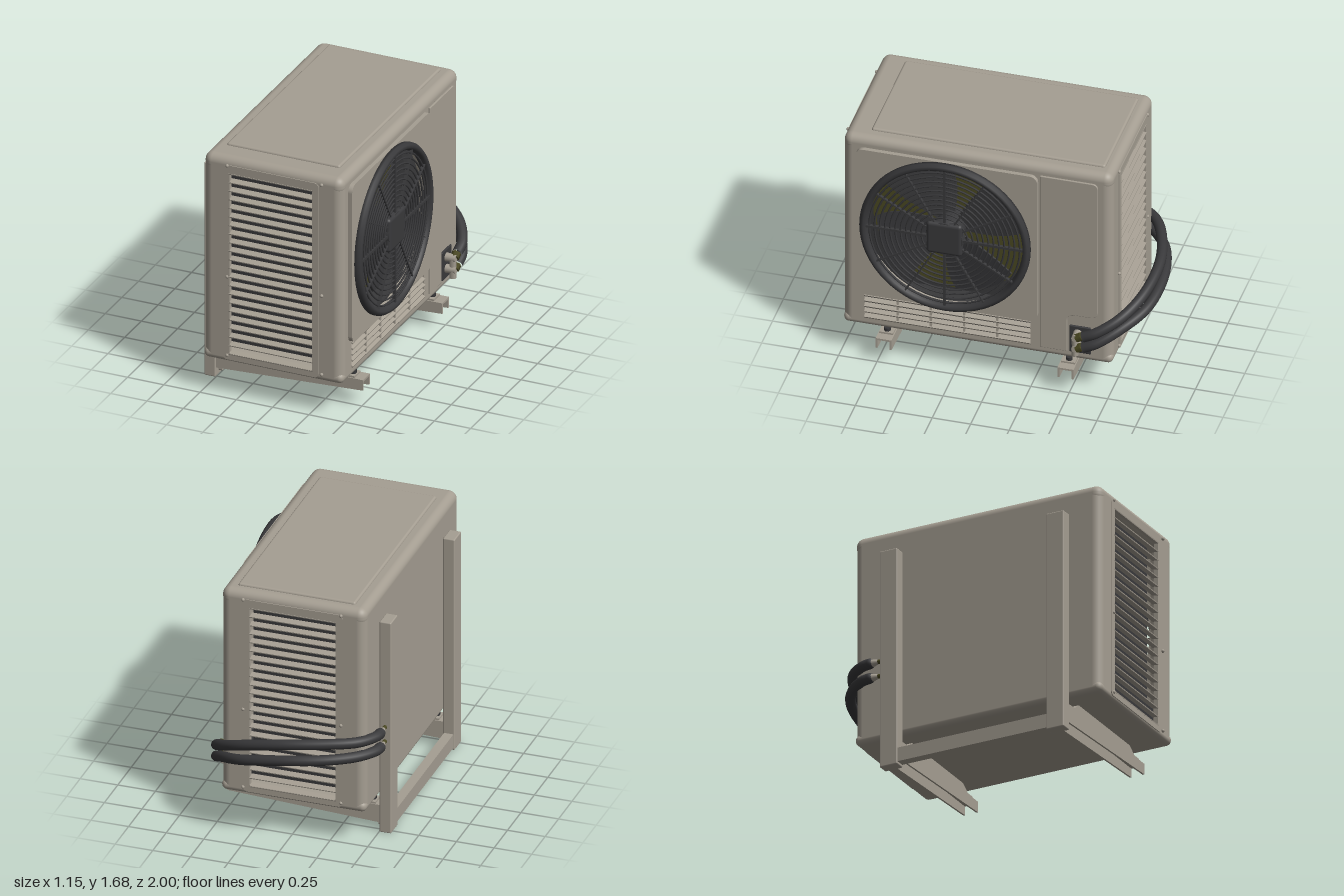
import * as THREE from 'three';
import { RoundedBoxGeometry } from 'three/addons/geometries/RoundedBoxGeometry.js';

const mat = (name, color, side = THREE.FrontSide) => {
  const m = new THREE.MeshStandardMaterial({ color, side });
  m.name = name;
  return m;
};

export function createModel() {
  const root = new THREE.Group();
  root.name = 'outdoorUnit';
  const beige = mat('warmGrey', 0xa59e92);
  const dark = mat('charcoal', 0x39393b);
  const olive = mat('darkOlive', 0x4a4822);

  const add = (name, geo, m, pos = [0, 0, 0], rot = [0, 0, 0], parent = root) => {
    const mesh = new THREE.Mesh(geo, m);
    mesh.name = name;
    mesh.position.set(...pos);
    mesh.rotation.set(...rot);
    parent.add(mesh);
    return mesh;
  };
  // box given by its limits on each axis
  const box = (name, m, x0, x1, y0, y1, z0, z1, parent = root) =>
    add(name, new THREE.BoxGeometry(x1 - x0, y1 - y0, z1 - z0), m,
      [(x0 + x1) / 2, (y0 + y1) / 2, (z0 + z1) / 2], [0, 0, 0], parent);
  // rounded rectangle outline
  const rect = (x0, x1, y0, y1, r, Type = THREE.Shape) => {
    const s = new Type();
    s.moveTo(x0 + r, y0).lineTo(x1 - r, y0);
    s.absarc(x1 - r, y0 + r, r, -Math.PI / 2, 0);
    s.lineTo(x1, y1 - r).absarc(x1 - r, y1 - r, r, 0, Math.PI / 2);
    s.lineTo(x0 + r, y1).absarc(x0 + r, y1 - r, r, Math.PI / 2, Math.PI);
    s.lineTo(x0, y0 + r).absarc(x0 + r, y0 + r, r, Math.PI, Math.PI * 1.5);
    return s;
  };
  const plate = (shape, depth, bevel = 0) => new THREE.ExtrudeGeometry(shape, {
    depth, curveSegments: 24, bevelEnabled: bevel > 0,
    bevelSize: bevel, bevelThickness: bevel, bevelOffset: -bevel, bevelSegments: 3,
  });
  const path = (pts) => new THREE.CatmullRomCurve3(pts.map((p) => new THREE.Vector3(...p)));

  // Cabinet: lid, tray, corner posts and dark interior
  add('lid', new RoundedBoxGeometry(0.96, 0.12, 1.75, 5, 0.055), beige, [-0.01, 1.61, 0.105]);
  add('lidPanel', new RoundedBoxGeometry(0.78, 0.04, 1.52, 3, 0.015), beige, [-0.01, 1.665, 0.06]);
  add('baseTray', new RoundedBoxGeometry(0.96, 0.07, 1.75, 4, 0.034), beige, [-0.01, 0.275, 0.105]);
  for (const x of [-0.43, 0.41]) for (const z of [-0.71, 0.92]) {
    add('cornerPost', new THREE.CylinderGeometry(0.06, 0.06, 1.34, 24), beige, [x, 0.945, z]);
  }
  box('interiorCore', dark, -0.46, 0.28, 0.28, 1.6, -0.69, 0.9);
  box('lowerInterior', dark, 0.28, 0.41, 0.28, 0.49, -0.69, 0.9);
  box('wallSidePanel', beige, -0.49, -0.46, 0.275, 1.615, -0.71, 0.92);

  // Louvred end panels, front and back
  for (const side of [1, -1]) {
    const end = new THREE.Group();
    end.name = side > 0 ? 'frontLouverPanel' : 'backLouverPanel';
    end.position.set(0, 0, side > 0 ? 0.98 : -0.77);
    end.rotation.y = side > 0 ? 0 : Math.PI;
    root.add(end);
    const c = -0.015 * side;
    const hole = () => rect(c - 0.29, c + 0.28, 0.305, 1.565, 0.01, THREE.Path);
    const wall = rect(-0.01 * side - 0.42, -0.01 * side + 0.42, 0.275, 1.615, 0.002);
    wall.holes.push(hole());
    add('endWall', plate(wall, 0.025), beige, [0, 0, -0.025], [0, 0, 0], end);
    const frame = rect(c - 0.335, c + 0.325, 0.262, 1.62, 0.03);
    frame.holes.push(hole());
    add('louverFrame', plate(frame, 0.006), beige, [0, 0, 0], [0, 0, 0], end);
    for (let i = 0; i <= 21; i++) {
      add('louverSlat', new THREE.BoxGeometry(0.58, 0.007, 0.045), beige,
        [c - 0.005, 0.305 + i * 0.06, -0.015], [0.22, 0, 0], end);
    }
    for (const x of [-0.32, 0.33]) for (const y of [0.29, 0.84, 1.615]) {
      add('screw', new THREE.SphereGeometry(0.012, 10, 6), beige, [x, y, 0.004], [0, 0, 0], end);
    }
  }

  // Fan side: local x runs toward the back, local z points outward
  const fanSide = new THREE.Group();
  fanSide.name = 'fanSide';
  fanSide.position.x = 0.47;
  fanSide.rotation.y = Math.PI / 2;
  root.add(fanSide);
  const FX = -0.305, FY = 1.04;
  const fanHole = () => new THREE.Path().absarc(FX, FY, 0.525, 0, Math.PI * 2);
  const wall = rect(-0.92, 0.71, 0.275, 1.615, 0.002);
  wall.holes.push(fanHole(), rect(-0.84, 0.24, 0.308, 0.485, 0.01, THREE.Path));
  add('sideWall', plate(wall, 0.025), beige, [0, 0, -0.025], [0, 0, 0], fanSide);
  const raised = rect(-0.89, 0.29, 0.495, 1.595, 0.05);
  raised.holes.push(fanHole());
  add('fanPanel', plate(raised, 0.028), beige, [0, 0, 0], [0, 0, 0], fanSide);

  // Service cover with a cut-out lower corner
  const cover = new THREE.Shape();
  cover.moveTo(0.305, 0.3).lineTo(0.48, 0.3).lineTo(0.48, 0.53);
  cover.quadraticCurveTo(0.48, 0.58, 0.53, 0.58).lineTo(0.63, 0.58);
  cover.quadraticCurveTo(0.68, 0.58, 0.68, 0.63).lineTo(0.68, 1.56);
  cover.quadraticCurveTo(0.68, 1.6, 0.64, 1.6).lineTo(0.305, 1.6);
  add('serviceCover', plate(cover, 0.006, 0.004), beige, [0, 0, 0.003], [0, 0, 0], fanSide);

  // Lower vent
  for (let i = 0; i < 5; i++) {
    add('ventSlat', new THREE.BoxGeometry(1.08, 0.012, 0.03), beige,
      [-0.3, 0.315 + i * 0.041, -0.005], [0.5, 0, 0], fanSide);
  }
  for (let i = 1; i < 5; i++) {
    add('ventDivider', new THREE.BoxGeometry(0.014, 0.18, 0.025), beige,
      [-0.84 + i * 0.216, 0.397, -0.008], [0, 0, 0], fanSide);
  }

  // Fan and grille
  const fan = new THREE.Group();
  fan.name = 'fan';
  fan.position.set(FX, FY, 0);
  fanSide.add(fan);
  add('fanShroud', new THREE.CircleGeometry(0.53, 48), olive, [0, 0, -0.18], [0, 0, 0], fan);
  const blade = new THREE.Shape();
  blade.moveTo(0.08, -0.06).quadraticCurveTo(0.3, -0.2, 0.46, -0.16);
  blade.absarc(0, 0, 0.487, -0.335, 0.6, false);
  blade.quadraticCurveTo(0.25, 0.2, 0.08, 0.06);
  for (let i = 0; i < 4; i++) {
    const pivot = new THREE.Group();
    pivot.name = 'bladePivot';
    pivot.rotation.z = i * Math.PI / 2 + 0.4;
    fan.add(pivot);
    add('fanBlade', plate(blade, 0.012), dark, [0, 0, -0.1], [0.14, 0, 0], pivot);
  }
  add('fanMotor', new THREE.CylinderGeometry(0.1, 0.1, 0.16, 32), dark, [0, 0, -0.09], [Math.PI / 2, 0, 0], fan);
  const rim = [[0.5, 0.02], [0.51, 0.06], [0.525, 0.072], [0.542, 0.068], [0.555, 0.05], [0.555, 0.02], [0.5, 0.02]];
  add('grilleRim', new THREE.LatheGeometry(rim.map(([r, y]) => new THREE.Vector2(r, y)).reverse(), 64),
    mat('charcoalRim', 0x39393b, THREE.DoubleSide), [0, 0, 0], [Math.PI / 2, 0, 0], fan);
  for (let i = 0; i < 11; i++) {
    add('grilleRing', new THREE.TorusGeometry(0.15 + i * 0.034, 0.0065, 6, 56), dark, [0, 0, 0.05], [0, 0, 0], fan);
  }
  for (let i = 0; i < 12; i++) {
    const a = i * Math.PI / 6;
    add('grilleSpoke', new THREE.BoxGeometry(0.42, i % 3 ? 0.009 : 0.016, 0.02), dark,
      [0.31 * Math.cos(a), 0.31 * Math.sin(a), 0.05], [0, 0, a], fan);
  }
  add('grilleHub', new RoundedBoxGeometry(0.235, 0.235, 0.05, 5, 0.024), dark, [0, 0, 0.048], [0, 0, 0], fan);
  add('grilleHubDisc', new THREE.CylinderGeometry(0.118, 0.128, 0.04, 32), dark, [0, 0, 0.046], [Math.PI / 2, 0, 0], fan);

  // Valves and hoses
  add('valveRecess', new RoundedBoxGeometry(0.14, 0.2, 0.016, 3, 0.007), dark, [0.565, 0.4, 0.004], [0, 0, 0], fanSide);
  [0, 1].forEach((k) => {
    const y = k ? 0.37 : 0.45, top = k ? 0.65 : 0.75, out = k ? -0.965 : -0.94;
    add('valveBody', new THREE.CylinderGeometry(0.024, 0.03, 0.08, 12), beige, [0.51, y, -0.55], [0, 0, -Math.PI / 2]);
    add('valveNut', new THREE.CylinderGeometry(0.03, 0.03, 0.04, 6), olive, [0.535, y + 0.01, -0.575], [-1, 0, 0]);
    add('valveCap', new THREE.CylinderGeometry(0.022, 0.022, 0.05, 6), beige, [0.53, y - 0.03, -0.545]);
    const line = path([
      [0.535, y + 0.015, -0.6], [0.53, y + 0.055, -0.68], [0.45, y + 0.13, -0.81],
      [0.28, (y + top) / 2 + 0.06, out + 0.03], [0, top - 0.02, out - 0.005], [-0.28, top, out + 0.06],
      [-0.45, top, -0.79], [-0.53, top, -0.68], [-0.54, top, -0.63],
    ]);
    add('hose', new THREE.TubeGeometry(line, 60, 0.034, 14), dark);
    add('hoseEnd', new THREE.CylinderGeometry(0.014, 0.032, 0.06, 14), beige, [-0.54, top, -0.6], [Math.PI / 2, 0, 0]);
    add('hoseEndCap', new THREE.SphereGeometry(0.034, 14, 8), dark, [-0.54, top, -0.63]);
    add('wallStub', new THREE.CylinderGeometry(0.014, 0.014, 0.06, 10), olive, [-0.54, top, -0.56], [Math.PI / 2, 0, 0]);
  });

  // Wall bracket: posts, tapered channel arms, feet and bolts
  for (const z of [0.705, -0.478]) {
    add('wallPost', new RoundedBoxGeometry(0.078, 1.49, 0.125, 2, 0.008), beige, [-0.541, 0.745, z]);
    const web = new THREE.Shape();
    web.moveTo(-0.51, 0.062).lineTo(0.51, 0.112).lineTo(0.51, 0.185).lineTo(-0.51, 0.185);
    for (const dz of [-0.052, 0.04]) add('armWeb', plate(web, 0.012), beige, [0, 0, z + dz]);
    box('armTop', beige, -0.51, 0.51, 0.172, 0.185, z - 0.052, z + 0.052);
    const foot = new THREE.Shape();
    foot.moveTo(-0.47, 0.185).lineTo(0.45, 0.185).lineTo(0.45, 0.197).lineTo(0.39, 0.197);
    foot.lineTo(0.32, 0.245).lineTo(-0.34, 0.245).lineTo(-0.4, 0.197).lineTo(-0.47, 0.197);
    add('foot', plate(foot, 0.09), beige, [0, 0, z - 0.045]);
    for (const x of [-0.44, 0.42]) {
      add('footBolt', new THREE.CylinderGeometry(0.022, 0.022, 0.026, 6), dark, [x, 0.206, z]);
    }
    for (const y of [0.04, 0.13]) {
      add('postBolt', new THREE.CylinderGeometry(0.016, 0.016, 0.03, 6), beige, [-0.493, y, z], [0, 0, Math.PI / 2]);
    }
  }
  box('crossbar', beige, -0.572, -0.51, 0.018, 0.112, -0.45, 0.68);
  return root;
}
